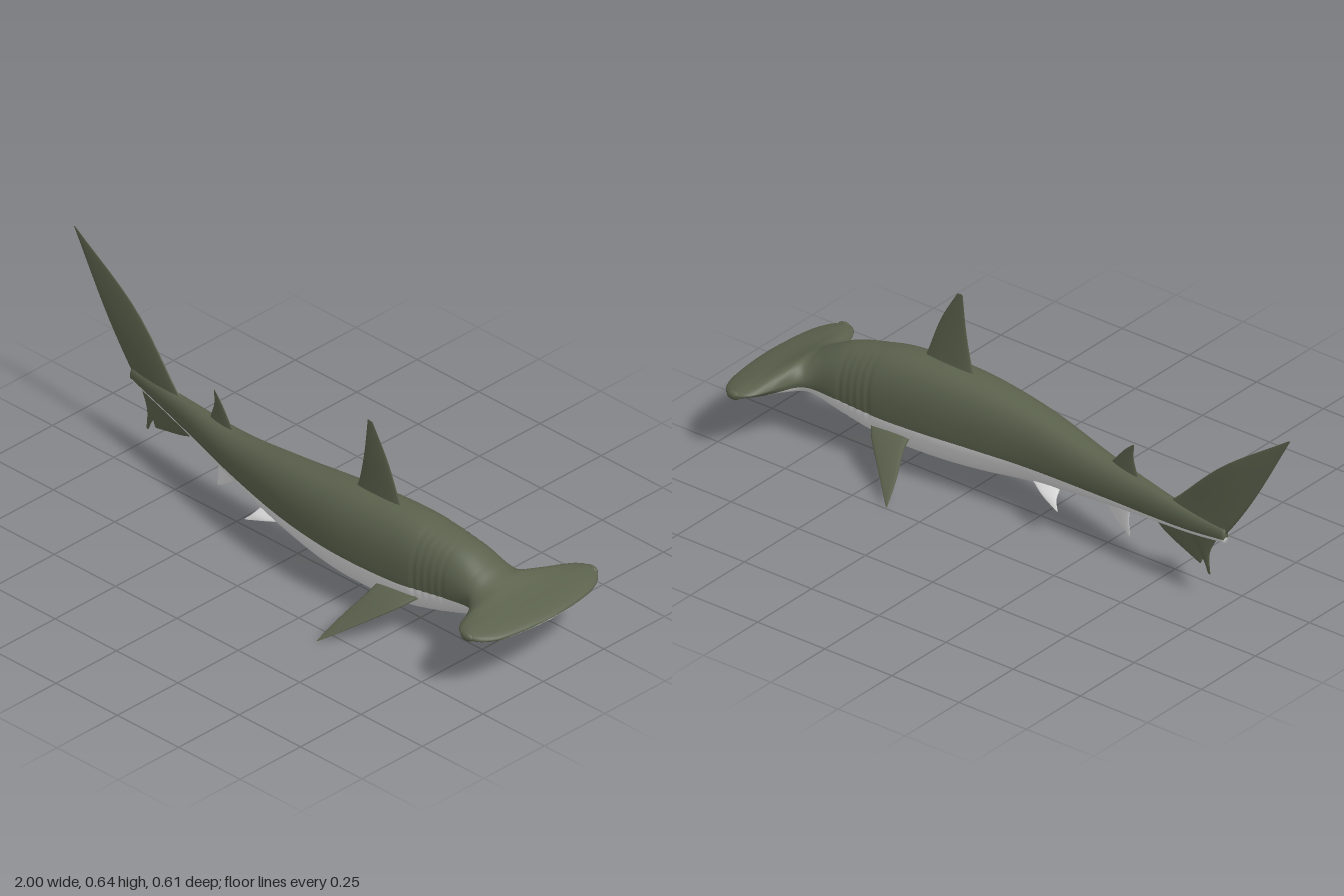
import * as THREE from 'three';

const green = new THREE.MeshStandardMaterial({ color: 0x5a614c });
green.name = 'olive green back';
const pale = new THREE.MeshStandardMaterial({ color: 0xdcdcdc });
pale.name = 'pale belly';

// Body stations: x, top, bottom, right edge z, left edge z, colour seam y, section exponent
const KEYS = [
  [-0.76, 0.266, 0.222, -0.1, -0.077, 0.235, 0.9],
  [-0.63, 0.272, 0.2, -0.095, -0.052, 0.218, 0.9],
  [-0.5, 0.279, 0.182, -0.085, -0.022, 0.206, 0.9],
  [-0.25, 0.296, 0.148, -0.066, 0.044, 0.192, 0.88],
  [0, 0.335, 0.11, -0.058, 0.1, 0.183, 0.85],
  [0.2, 0.361, 0.077, -0.068, 0.125, 0.178, 0.85],
  [0.35, 0.372, 0.066, -0.08, 0.127, 0.175, 0.85],
  [0.5, 0.371, 0.069, -0.09, 0.117, 0.174, 0.85],
  [0.6, 0.356, 0.085, -0.096, 0.104, 0.18, 0.87],
  [0.7, 0.332, 0.112, -0.1, 0.09, 0.188, 0.92],
  [0.77, 0.298, 0.138, -0.107, 0.088, 0.194, 1],
  [0.805, 0.278, 0.152, -0.14, 0.11, 0.198, 1.4],
  [0.83, 0.268, 0.166, -0.22, 0.15, 0.2, 1.7],
  [0.85, 0.259, 0.176, -0.272, 0.192, 0.2, 1.5],
  [0.875, 0.248, 0.184, -0.298, 0.22, 0.2, 1.1],
  [0.905, 0.238, 0.187, -0.305, 0.228, 0.2, 0.8],
  [0.945, 0.227, 0.188, -0.282, 0.208, 0.2, 0.8],
  [0.975, 0.217, 0.19, -0.225, 0.155, 0.2, 0.9],
  [0.99, 0.21, 0.194, -0.14, 0.07, 0.2, 1],
  [0.997, 0.204, 0.199, -0.06, -0.01, 0.201, 1],
];

const spline = (pts) => new THREE.CatmullRomCurve3(pts, false, 'catmullrom', 0.5);

// Centre line of the swimming body
function bend(x) {
  const mid = (k) => (k[3] + k[4]) / 2;
  for (let i = 1; i < KEYS.length; i++) {
    const a = KEYS[i - 1], b = KEYS[i];
    if (x < b[0]) return THREE.MathUtils.lerp(mid(a), mid(b), Math.max(0, (x - a[0]) / (b[0] - a[0])));
  }
  return mid(KEYS[KEYS.length - 1]);
}

// Skin closed rings of points, close both ends, and choose a colour per quad
function loft(name, rings, isPale) {
  const collapse = (ring) => {
    const c = ring.reduce((s, p) => s.add(p), new THREE.Vector3()).divideScalar(ring.length);
    return ring.map(() => c.clone());
  };
  const all = [collapse(rings[0]), ...rings, collapse(rings[rings.length - 1])];
  const n = rings[0].length, pts = all.flat(), lists = [[], []];
  let volume = 0;
  for (let i = 0; i < all.length - 1; i++) {
    for (let j = 0; j < n; j++) {
      const a = i * n + j, b = i * n + (j + 1) % n, c = a + n, d = b + n;
      lists[isPale(i / (all.length - 1), j, n) ? 1 : 0].push(a, b, d, a, d, c);
      for (const [p, q, r] of [[a, b, d], [a, d, c]]) {
        volume += pts[p].dot(pts[q].clone().cross(pts[r]));
      }
    }
  }
  if (volume < 0) lists.forEach((l) => l.reverse());
  const geo = new THREE.BufferGeometry().setFromPoints(pts);
  geo.setIndex([...lists[0], ...lists[1]]);
  geo.addGroup(0, lists[0].length, 0);
  geo.addGroup(lists[0].length, lists[1].length, 1);
  geo.computeVertexNormals();
  const mesh = new THREE.Mesh(geo, [green, pale]);
  mesh.name = name;
  return mesh;
}

// Body and hammer-shaped head in one skin
function makeBody() {
  const heights = spline(KEYS.map((k) => new THREE.Vector3(k[0], k[1], k[2])));
  const widths = spline(KEYS.map((k) => new THREE.Vector3(k[0], k[3], k[4])));
  const looks = spline(KEYS.map((k) => new THREE.Vector3(k[0], k[5], k[6])));
  const steps = (KEYS.length - 1) * 14, half = 28, rings = [];
  const spow = (v, e) => Math.sign(v) * Math.abs(v) ** e;
  for (let i = 0; i <= steps; i++) {
    const h = heights.getPoint(i / steps), w = widths.getPoint(i / steps), l = looks.getPoint(i / steps);
    const cy = (h.y + h.z) / 2, hy = (h.y - h.z) / 2, cz = (w.y + w.z) / 2;
    let hz = (w.z - w.y) / 2;
    // Five gill creases
    if (h.x > 0.56 && h.x < 0.685) hz -= 0.003 * Math.sin((h.x - 0.56) / 0.025 * Math.PI) ** 2;
    const s = THREE.MathUtils.clamp((l.y - cy) / hy, -0.9, 0.9);
    const a0 = Math.asin(spow(s, 1 / l.z));
    const ring = [];
    for (let j = 0; j < 2 * half; j++) {
      const a = j < half
        ? a0 + (Math.PI - 2 * a0) * j / half
        : Math.PI - a0 + (Math.PI + 2 * a0) * (j - half) / half;
      const across = spow(Math.cos(a), Math.min(l.z, 1));
      ring.push(new THREE.Vector3(h.x, cy + hy * spow(Math.sin(a), l.z), cz + hz * across));
    }
    rings.push(ring);
  }
  return loft('body', rings, (t, j, n) => j >= n / 2);
}

// Fin with a lens section between a leading and a trailing edge, root to tip
function makeFin(name, lead, trail, thick, normal, isPale) {
  const toVec = ([x, y, z]) => new THREE.Vector3(x, y, z ?? bend(x));
  const front = spline(lead.map(toVec)), back = spline(trail.map(toVec));
  const up = new THREE.Vector3(...normal).normalize(), rings = [];
  for (let i = 0; i <= 16; i++) {
    const t = i / 16, a = front.getPoint(t), b = back.getPoint(t), ring = [];
    for (let j = 0; j < 16; j++) {
      const ang = j / 16 * Math.PI * 2;
      ring.push(a.clone().lerp(b, (1 - Math.cos(ang)) / 2)
        .addScaledVector(up, thick * (1 - 0.92 * t) * Math.sin(ang)));
    }
    rings.push(ring);
  }
  return loft(name, rings, isPale);
}

export function createModel() {
  const model = new THREE.Group();
  const dark = () => false, light = () => true, side = [0, 0, 1];
  model.add(makeBody());

  // Fins on the centre line
  model.add(
    makeFin('dorsalFin', [[0.46, 0.34, 0.024], [0.44, 0.385, 0.026], [0.395, 0.505, 0.03], [0.335, 0.61, 0.031]],
      [[0.25, 0.34, 0.024], [0.275, 0.385, 0.026], [0.3, 0.49, 0.03], [0.315, 0.612, 0.031]], 0.012, side, dark),
    makeFin('secondDorsalFin', [[-0.26, 0.27], [-0.295, 0.31], [-0.335, 0.355], [-0.368, 0.383]],
      [[-0.4, 0.26], [-0.385, 0.3], [-0.372, 0.34], [-0.374, 0.386]], 0.007, side, dark),
    makeFin('upperTailFin', [[-0.5, 0.25], [-0.56, 0.295], [-0.75, 0.475], [-0.994, 0.645]],
      [[-0.72, 0.22], [-0.765, 0.255], [-0.87, 0.41], [-1, 0.645]], 0.011, side, dark),
    makeFin('lowerTailFin', [[-0.58, 0.22], [-0.66, 0.14], [-0.688, 0.09]],
      [[-0.73, 0.23], [-0.695, 0.16], [-0.697, 0.09]], 0.007, side, dark),
    makeFin('lowerTailWeb', [[-0.44, 0.2], [-0.51, 0.155], [-0.65, 0.112]],
      [[-0.7, 0.21], [-0.68, 0.16], [-0.657, 0.112]], 0.006, side, dark),
    makeFin('analFin', [[-0.23, 0.17], [-0.28, 0.115], [-0.35, 0.07]],
      [[-0.36, 0.18], [-0.352, 0.125], [-0.357, 0.07]], 0.006, side, light),
  );

  // Paired fins; the centre line and reach differ with the bend of the body
  for (const s of [1, -1]) {
    const label = s > 0 ? 'left' : 'right';
    const z = (out, mid) => mid + s * out;
    const under = (t, j, n) => j > n / 2 - 1 && t < 0.72;
    model.add(
      makeFin(label + 'PectoralFin',
        [[0.585, 0.145, z(0.07, 0.02)], [0.55, 0.118, z(0.125, 0.024)], [0.46, 0.056, z(0.205, 0.028)], [0.381, 0.003, z(0.273, 0.03)]],
        [[0.43, 0.145, z(0.07, 0.02)], [0.425, 0.118, z(0.125, 0.024)], [0.395, 0.056, z(0.205, 0.028)], [0.375, 0.002, z(0.275, 0.03)]],
        0.009, [0, 0.82, s * 0.57], under),
      makeFin(label + 'PelvicFin',
        [[0, 0.132, z(0.045, 0.01)], [-0.06, 0.118, z(0.07, 0.004)], [-0.127, 0.1, z(0.086, 0)]],
        [[-0.1, 0.14, z(0.045, 0.01)], [-0.112, 0.122, z(0.07, 0.004)], [-0.133, 0.1, z(0.086, 0)]],
        0.005, [0, 0.85, s * 0.5], light),
    );
    // Eye bulge at the end of the hammer
    const eye = new THREE.Mesh(new THREE.SphereGeometry(1, 20, 12), green);
    eye.name = label + 'Eye';
    eye.scale.set(0.024, 0.014, 0.012);
    eye.position.set(0.905, 0.212, z(0.257, -0.038));
    model.add(eye);
  }
  return model;
}
